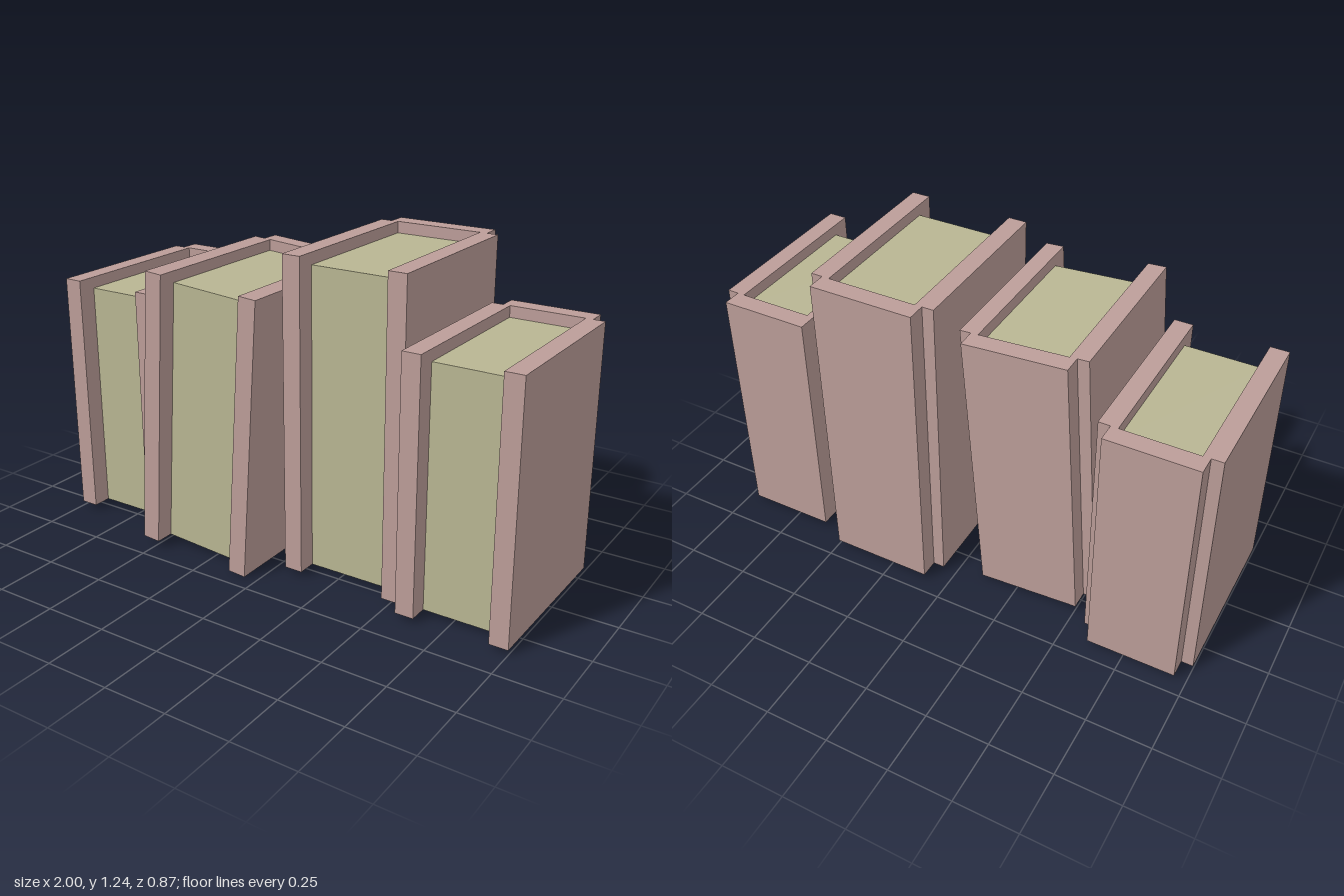
import * as THREE from 'three';

const BOARD = 0.073; // thickness of covers and spine
const SPINE_INSET = 0.045;
const PAGE_DROP = 0.045; // pages end below the top of the covers
const DEPTH = 0.75;

// A box given by its limits on each axis
function block(name, material, [x0, x1], [y0, y1], [z0, z1]) {
  const mesh = new THREE.Mesh(new THREE.BoxGeometry(x1 - x0, y1 - y0, z1 - z0), material);
  mesh.position.set((x0 + x1) / 2, (y0 + y1) / 2, (z0 + z1) / 2);
  mesh.name = name;
  return mesh;
}

// One book, centred on its own origin, spine at the back
function makeBook(w, h, cover, paper) {
  const book = new THREE.Group();
  const x = w / 2, y = h / 2, z = DEPTH / 2 + 0.0;
  const hinge = -z + BOARD;
  book.add(
    block('rightCover', cover, [-x, -x + BOARD], [-y, y], [hinge, z]),
    block('leftCover', cover, [x - BOARD, x], [-y, y], [hinge, z]),
    block('spine', cover, [-x + SPINE_INSET, x - SPINE_INSET], [-y, y], [-z, hinge]),
    block('pages', paper, [-x + BOARD, x - BOARD], [-y, y - PAGE_DROP], [hinge, z - 0.075])
  );
  return book;
}

export function createModel() {
  const cover = new THREE.MeshStandardMaterial({ color: 0xbc9d99 });
  cover.name = 'dusty rose cover';
  const paper = new THREE.MeshStandardMaterial({ color: 0xb9b693 });
  paper.name = 'aged paper';

  const group = new THREE.Group();
  group.name = 'bookRow';
  // The second book leans towards the third
  const books = [
    { name: 'rightEndBook', w: 0.435, h: 0.976, at: [-0.7825, 0.507, -0.063] },
    { name: 'leaningBook', w: 0.495, h: 1.095, at: [-0.264, 0.5635, 0.058], tilt: -0.07 },
    { name: 'tallBook', w: 0.495, h: 1.217, at: [0.297, 0.6275, -0.063] },
    { name: 'leftEndBook', w: 0.437, h: 0.976, at: [0.7815, 0.507, -0.002] },
  ];
  for (const { name, w, h, at, tilt = 0 } of books) {
    const book = makeBook(w, h, cover, paper);
    book.name = name;
    book.position.set(...at);
    book.rotation.z = tilt;
    group.add(book);
  }
  return group;
}
